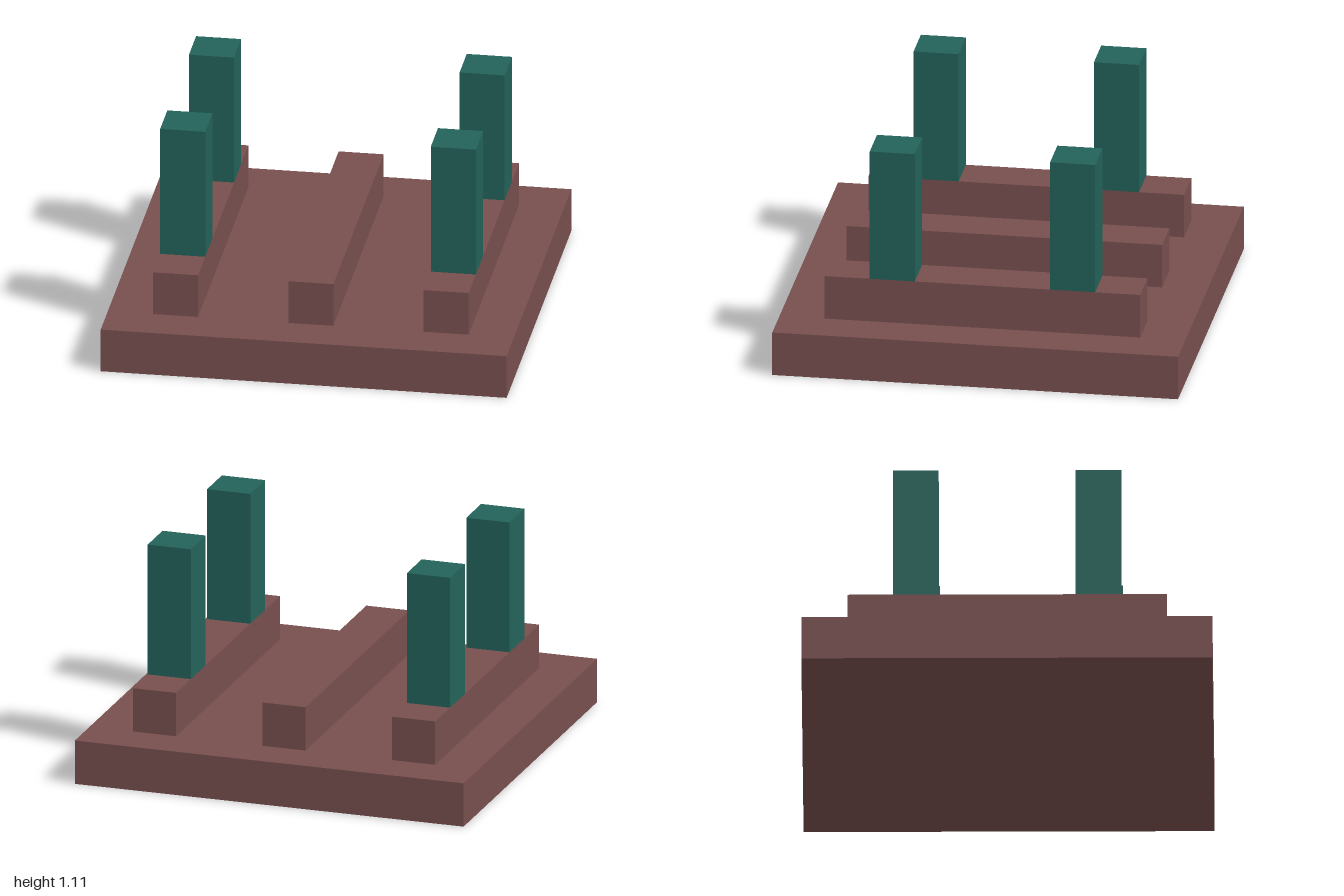
import * as THREE from 'three';

// One block unit: the base is nine units wide
const U = 2 / 9;

export function createModel() {
  const model = new THREE.Group();
  model.name = 'postedPlatform';

  const brown = new THREE.MeshStandardMaterial({ color: 0x784f4f });
  brown.name = 'dusty brown';
  const green = new THREE.MeshStandardMaterial({ color: 0x23635a });
  green.name = 'deep teal';

  // Box sized in units, standing on height y
  const addBox = (name, material, [w, h, d], [x, y, z]) => {
    const mesh = new THREE.Mesh(new THREE.BoxGeometry(w * U, h * U, d * U), material);
    mesh.name = name;
    mesh.position.set(x * U, (y + h / 2) * U, z * U);
    model.add(mesh);
  };

  // Square base slab
  addBox('base', brown, [9, 1, 9], [0, 0, 0]);

  // Three parallel rails running front to back
  for (const [name, x] of [['rightRail', -3], ['middleRail', 0], ['leftRail', 3]]) {
    addBox(name, brown, [1, 1, 7], [x, 1, 0]);
  }

  // Four posts on the outer rails
  for (const [side, x] of [['Right', -3], ['Left', 3]]) {
    for (const [end, z] of [['front', 2], ['back', -2]]) {
      addBox(`${end}${side}Post`, green, [1, 3, 1], [x, 2, z]);
    }
  }

  return model;
}
